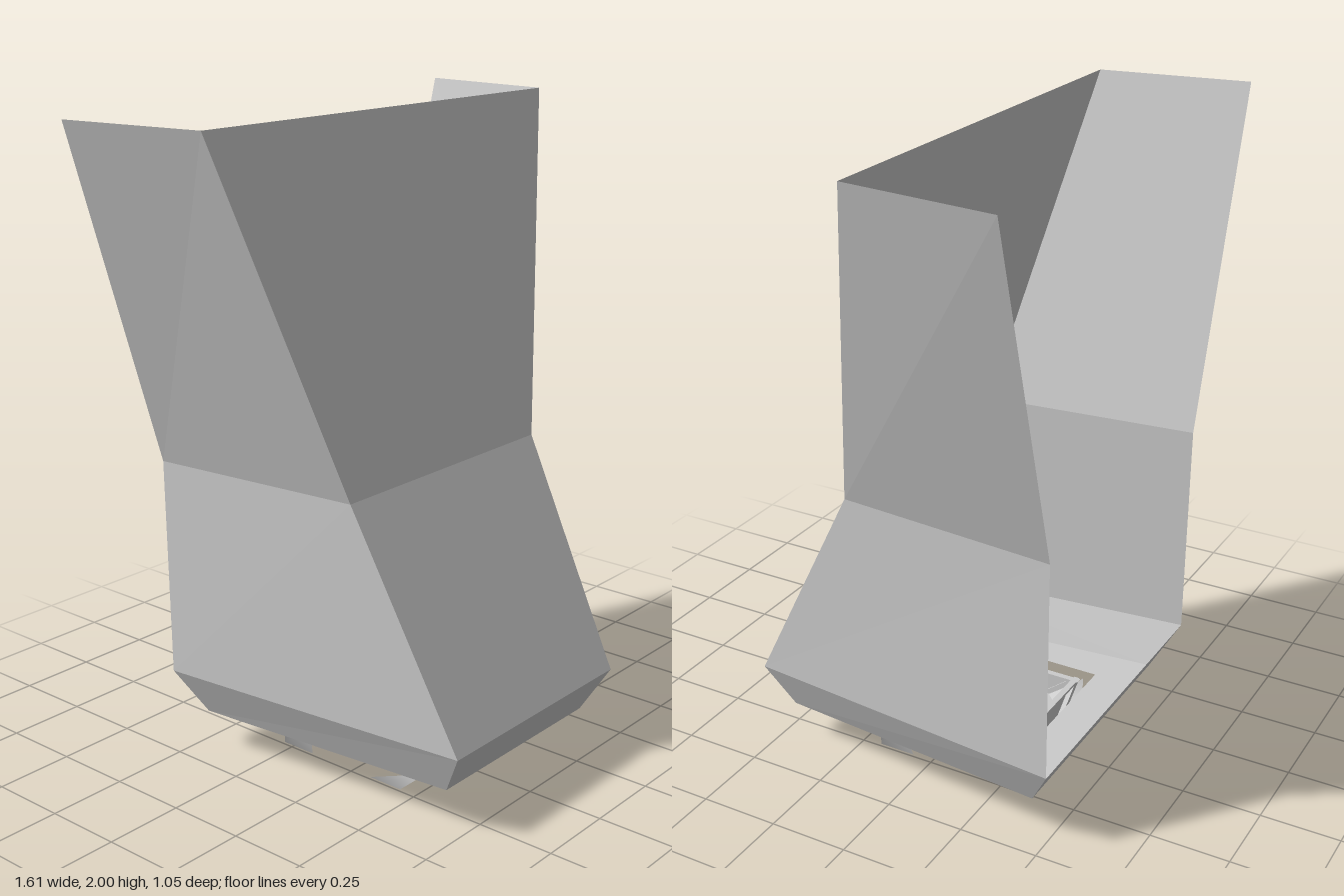
import * as THREE from 'three';

const grey = (side = THREE.DoubleSide) =>
  new THREE.MeshStandardMaterial({ color: 0xcccccc, flatShading: true, side });

function mesh(name, geometry, parent, material = grey()) {
  const m = new THREE.Mesh(geometry, material);
  m.name = name;
  parent.add(m);
  return m;
}

// Four corners, counter-clockwise from the visible side
function quad(a, b, c, d) {
  const g = new THREE.BufferGeometry();
  g.setAttribute('position', new THREE.Float32BufferAttribute([a, b, c, a, c, d].flat(), 3));
  g.computeVertexNormals();
  return g;
}

const polygon = (pts) => pts.map(([x, y]) => new THREE.Vector2(x, y));

// Octagon made from a square with cut corners
const octagon = (h, c) => polygon([
  [h, -c], [h, c], [c, h], [-c, h], [-h, c], [-h, -c], [-c, -h], [c, -h]]);

function flatShape(outline, hole) {
  const s = new THREE.Shape(outline);
  if (hole) s.holes.push(new THREE.Path(hole));
  return s;
}

export function createModel() {
  const model = new THREE.Group();
  model.name = 'openChute';

  // Sheet shell: levels of height, front half width, front z, back half width, back z
  const shell = new THREE.Group();
  shell.name = 'shell';
  model.add(shell);
  const levels = [
    [0.13, 0.34, 0.445, 0.42, -0.445],
    [0.27, 0.39, 0.523, 0.49, -0.523],
    [0.96, 0.432, 0.17, 0.495, -0.523],
    [2.0, 0.742, -0.05, 0.803, -0.523],
  ];
  const front = ([y, x, z], s) => [s * x, y, z];
  const back = ([y, , , x, z], s) => [s * x, y, z];
  for (let i = 0; i < 3; i++) {
    const lo = levels[i], hi = levels[i + 1];
    mesh('frontPanel', quad(front(lo, -1), front(lo, 1), front(hi, 1), front(hi, -1)), shell);
    mesh('leftPanel', quad(front(lo, 1), back(lo, 1), back(hi, 1), front(hi, 1)), shell);
    mesh('rightPanel', quad(back(lo, -1), front(lo, -1), front(hi, -1), back(hi, -1)), shell);
  }
  mesh('backLip', quad(back(levels[0], 1), back(levels[0], -1),
    back(levels[1], -1), back(levels[1], 1)), shell);

  // Floor with a square opening
  const floor = new THREE.ShapeGeometry(flatShape(
    polygon([[-0.42, -0.445], [0.42, -0.445], [0.34, 0.445], [-0.34, 0.445]]),
    polygon([[-0.28, -0.315], [-0.28, 0.215], [0.28, 0.215], [0.28, -0.315]])));
  floor.rotateX(Math.PI / 2).translate(0, 0.13, 0);
  mesh('floor', floor, shell);

  // Outlet set in the opening
  const outlet = new THREE.Group();
  outlet.name = 'outlet';
  outlet.position.z = -0.05;
  model.add(outlet);

  // Octagonal bottom rim, recessed plate and central hub
  const rim = new THREE.ExtrudeGeometry(flatShape(octagon(0.225, 0.115), octagon(0.2, 0.1)),
    { depth: 0.015, bevelEnabled: false });
  mesh('bottomRim', rim.rotateX(Math.PI / 2).translate(0, 0.055, 0), outlet);
  const plate = new THREE.ShapeGeometry(flatShape(octagon(0.205, 0.105)));
  mesh('bottomPlate', plate.rotateX(Math.PI / 2).translate(0, 0.05, 0), outlet);
  const hub = new THREE.CylinderGeometry(0.07, 0.05, 0.012, 8);
  mesh('hub', hub.rotateY(Math.PI / 8).translate(0, 0.05, 0), outlet);

  // Framed side plates, corner gussets and feet, one of each per quarter turn
  const sideFrame = new THREE.ExtrudeGeometry(flatShape(
    polygon([[-0.115, 0.04], [0.115, 0.04], [0.235, 0.13], [-0.235, 0.13]]),
    polygon([[-0.105, 0.052], [-0.195, 0.122], [0.195, 0.122], [0.105, 0.052]])),
  { depth: 0.02, bevelEnabled: false });
  sideFrame.translate(0, 0, 0.21);
  const sidePanel = new THREE.ShapeGeometry(flatShape(
    polygon([[-0.115, 0.045], [0.115, 0.045], [0.225, 0.13], [-0.225, 0.13]])));
  sidePanel.translate(0, 0, 0.215);

  const gusset = new THREE.BufferGeometry();
  gusset.setAttribute('position', new THREE.Float32BufferAttribute(
    [0.23, 0.13, 0.23, 0.115, 0.04, 0.225, 0.225, 0.04, 0.115], 3));
  gusset.computeVertexNormals();

  // Foot pocket faces look inward: top, outer corner and two toe points
  const foot = new THREE.BufferGeometry();
  foot.setAttribute('position', new THREE.Float32BufferAttribute(
    [0.24, 0.13, 0.24, 0.24, 0, 0.24, 0.24, 0, 0.12, 0.12, 0, 0.24], 3));
  foot.setIndex([0, 2, 1, 0, 1, 3, 1, 2, 3]);
  foot.computeVertexNormals();
  const footMaterial = new THREE.MeshStandardMaterial({ color: 0xcccccc });

  for (let i = 0; i < 4; i++) {
    const quarter = new THREE.Group();
    quarter.name = 'outletQuarter';
    quarter.rotation.y = i * Math.PI / 2;
    outlet.add(quarter);
    mesh('sideFrame', sideFrame, quarter);
    mesh('sidePanel', sidePanel, quarter);
    mesh('cornerGusset', gusset, quarter);
    mesh('cornerFoot', foot, quarter, footMaterial);
  }
  return model;
}
